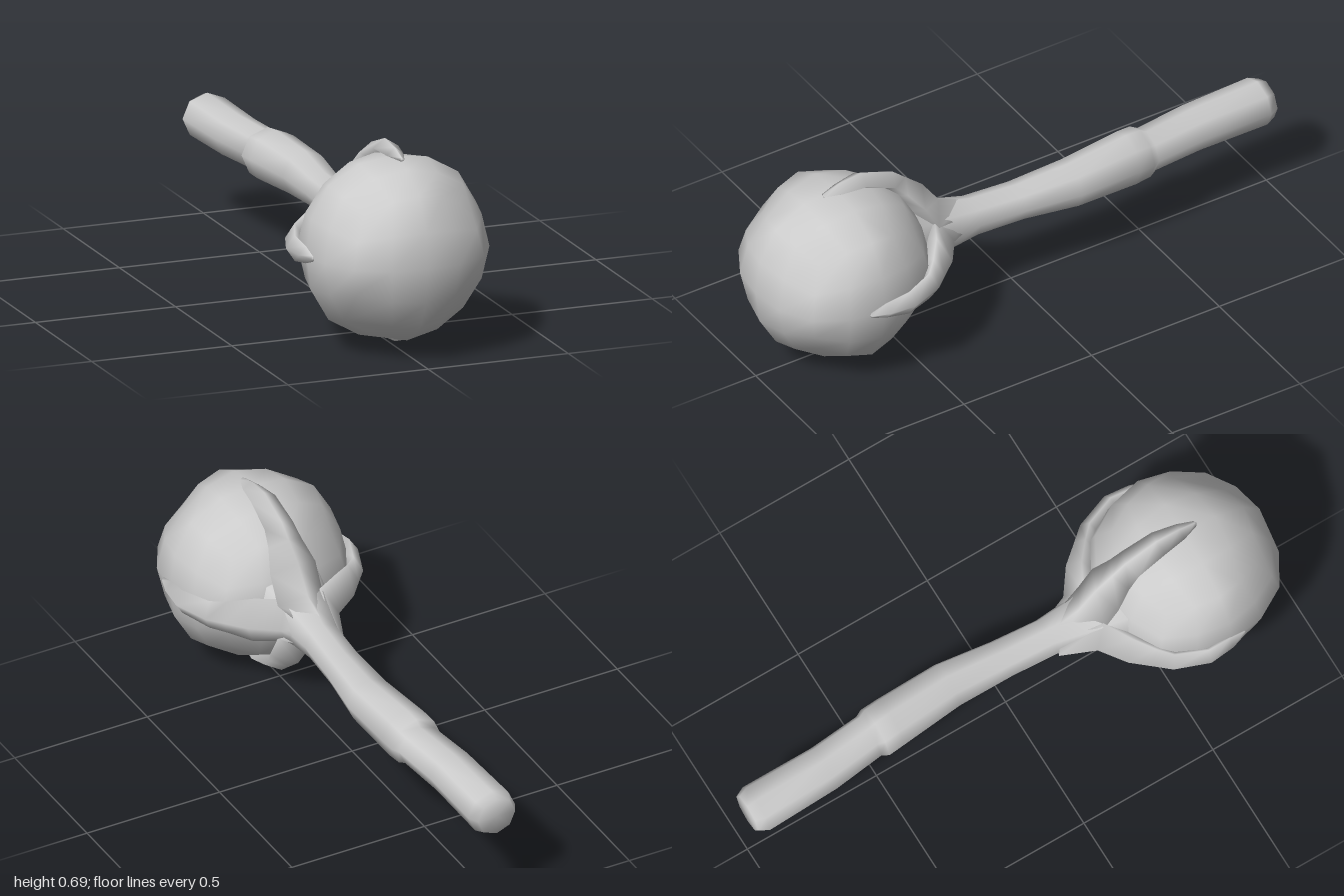
import * as THREE from 'three';
import { mergeVertices } from 'three/addons/utils/BufferGeometryUtils.js';

const CENTRE_Y = 0.347;
const grey = new THREE.MeshStandardMaterial({ color: 0xcccccc });

// Smooth skin over a list of rings, each a closed loop of [x, y, z] points
function loft(rings) {
  const n = rings[0].length;
  const index = [];
  for (let i = 0; i < rings.length - 1; i++) {
    for (let j = 0; j < n; j++) {
      const a = i * n + j, b = i * n + (j + 1) % n;
      index.push(a, b, a + n, b, b + n, a + n);
    }
  }
  const geometry = new THREE.BufferGeometry();
  geometry.setAttribute('position', new THREE.Float32BufferAttribute(rings.flat(2), 3));
  geometry.setIndex(index);
  geometry.computeVertexNormals();
  return geometry;
}

// Ball: a cube subdivided into a slightly uneven sphere
function ballGeometry() {
  let geometry = new THREE.BoxGeometry(2, 2, 2, 4, 4, 4);
  geometry.deleteAttribute('normal');
  geometry.deleteAttribute('uv');
  geometry = mergeVertices(geometry);
  const p = geometry.attributes.position;
  const v = new THREE.Vector3();
  const spread = (t) => Math.tan(t * Math.PI / 4);
  for (let i = 0; i < p.count; i++) {
    v.set(spread(p.getX(i)), spread(p.getY(i)), spread(p.getZ(i))).normalize();
    const [a, b, c] = [v.x * v.x, v.y * v.y, v.z * v.z];
    v.multiplyScalar(0.31 * (1 + 0.22 * (a * b + b * c + c * a) - 2.9 * a * b * c));
    p.setXYZ(i, v.x, v.y, v.z);
  }
  geometry.computeVertexNormals();
  return geometry;
}

// Handle: octagonal rings [z, centre x, x radius, y radius]
function handleGeometry() {
  const sections = [
    [-1, 0, 0, 0], [-1, 0, 0.07, 0.068], [-0.965, 0, 0.088, 0.081],
    [-0.7, 0.005, 0.083, 0.077], [-0.515, 0.025, 0.08, 0.073],
    [-0.49, 0.025, 0.093, 0.088], [-0.43, 0.03, 0.092, 0.094],
    [-0.2, 0.044, 0.083, 0.082], [0, 0.03, 0.07, 0.065],
    [0.17, 0.018, 0.068, 0.07], [0.28, 0.005, 0.09, 0.09],
    [0.36, 0, 0.112, 0.112], [0.42, 0, 0.142, 0.142],
  ];
  return loft(sections.map(([z, cx, rx, ry]) =>
    Array.from({ length: 8 }, (_, j) => {
      const t = j * Math.PI / 4;
      return [cx + rx * Math.cos(t), ry * Math.sin(t), z];
    })));
}

// Claw: diamond sections [ridge r, ridge z, inner r, inner z, half width]
function clawGeometry() {
  const sections = [
    [0.06, 0.17, 0, 0.22, 0.04], [0.11, 0.29, 0.02, 0.39, 0.085],
    [0.2, 0.355, 0.12, 0.43, 0.085], [0.255, 0.42, 0.2, 0.475, 0.062],
    [0.298, 0.47, 0.245, 0.51, 0.053], [0.343, 0.59, 0.285, 0.605, 0.045],
    [0.334, 0.68, 0.285, 0.685, 0.03], [0.314, 0.74, 0.3, 0.74, 0.01],
    [0.307, 0.745, 0.307, 0.745, 0],
  ];
  return loft(sections.map(([ro, zo, ri, zi, w]) => {
    const r = (ro + ri) / 2, z = (zo + zi) / 2;
    return [[ro, 0, zo], [r, w, z], [ri, 0, zi], [r, -w, z]];
  }));
}

export function createModel() {
  const model = new THREE.Group();
  model.name = 'clawedBallStaff';
  const add = (name, geometry, x, z) => {
    const mesh = new THREE.Mesh(geometry, grey);
    mesh.name = name;
    mesh.position.set(x, CENTRE_Y, z);
    model.add(mesh);
    return mesh;
  };

  add('ball', ballGeometry(), 0, 0.69);
  add('handle', handleGeometry(), 0, 0);

  // Four claws around the ball; the upper and lower ones sit slightly to the left
  const claw = clawGeometry();
  ['leftClaw', 'topClaw', 'rightClaw', 'bottomClaw'].forEach((name, i) => {
    add(name, claw, i % 2 ? 0.01 : 0, 0).rotation.z = i * Math.PI / 2;
  });
  return model;
}
